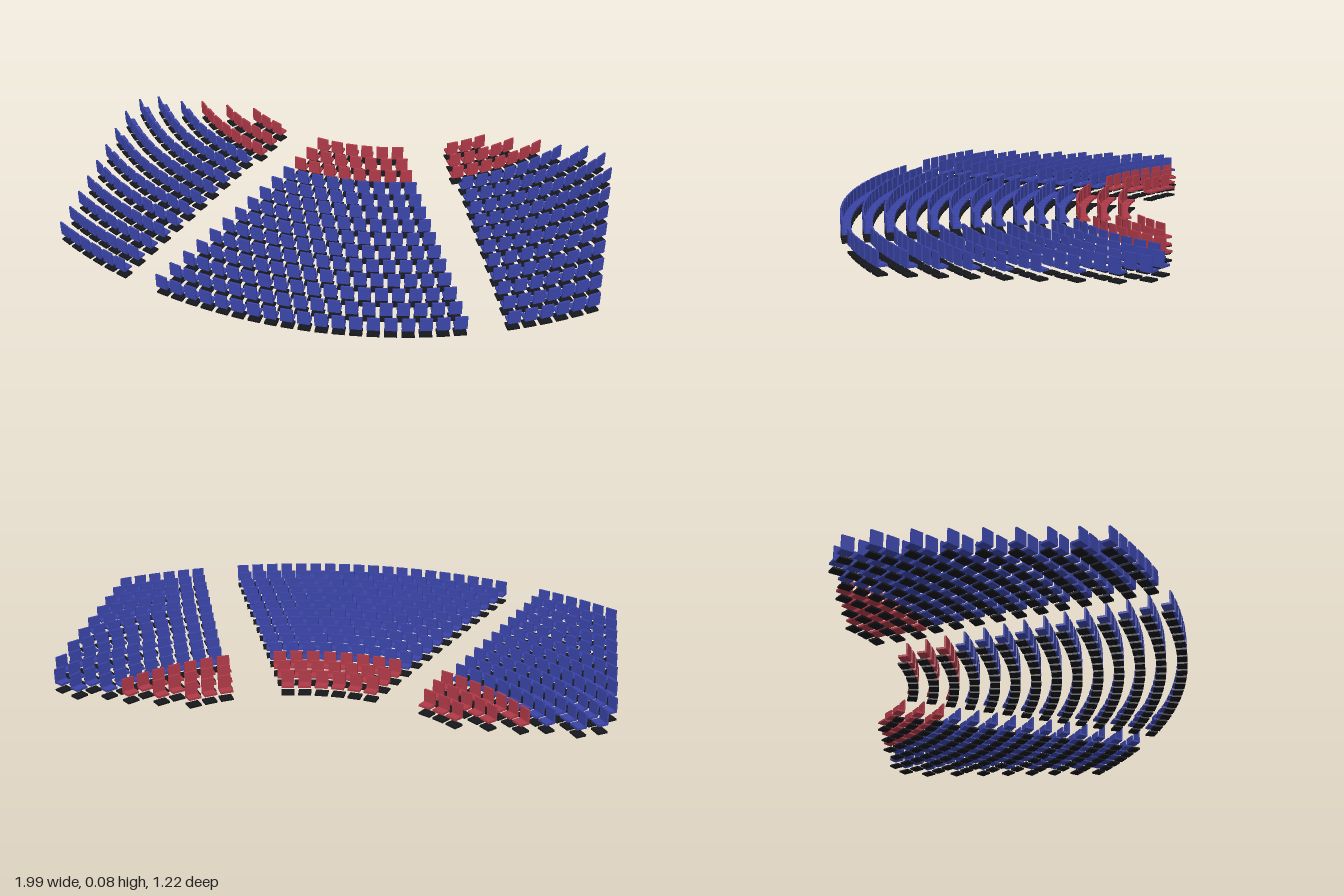
import * as THREE from 'three';
import { mergeGeometries } from 'three/addons/utils/BufferGeometryUtils.js';

const ROWS = 14, PITCH = 0.06;
const CENTRE_Z = -1.145;                       // common centre of all row arcs
const radius = (row) => 0.725 + 0.078 * row;
const FRONT_GAPS = [2, 4, 6, 7, 9, 10];        // side-block rows cut off by the stage line

function box(w, h, d, y, z) {
  return new THREE.BoxGeometry(w, h, d).translate(0, y + h / 2, z);
}

// One chair, facing local -z
const parts = {
  cushion: box(0.045, 0.008, 0.03, 0.03, -0.0035),
  backrest: box(0.045, 0.054, 0.007, 0.03, 0.015),
  floorPlate: box(0.045, 0.007, 0.037, 0, 0),
};

// Angles of the chairs in the middle block: one more chair in each row
function middleAngles(row) {
  const n = 6 + row;
  return Array.from({ length: n }, (_, k) => (k - (n - 1) / 2) * PITCH / radius(row));
}

// Angles of the chairs in a side block, from the aisle outwards
function sideAngles(row) {
  const R = radius(row);
  const start = row < 3 ? 0.37 + 0.0215 * row : 0.461 + 0.0266 * (row - 3);
  const end = row < 6 ? start + FRONT_GAPS[row] * PITCH : R * Math.asin(0.967 / R);
  const gaps = Math.round((end - start) / PITCH);
  return Array.from({ length: gaps + 1 }, (_, k) => (start + (end - start) * k / gaps) / R);
}

function place(geometry, row, angle) {
  const R = radius(row);
  return geometry.clone().rotateY(angle)
    .translate(R * Math.sin(angle), 0, CENTRE_Z + R * Math.cos(angle));
}

export function createModel() {
  const model = new THREE.Group();
  model.name = 'auditoriumSeating';
  const blue = new THREE.MeshStandardMaterial({ color: 0x3a45a8 });
  const red = new THREE.MeshStandardMaterial({ color: 0xb03a48 });
  const black = new THREE.MeshStandardMaterial({ color: 0x15171c });

  const blocks = {
    middleBlock: middleAngles,
    leftBlock: sideAngles,
    rightBlock: (row) => sideAngles(row).map((a) => -a),
  };
  for (const [blockName, angles] of Object.entries(blocks)) {
    const block = new THREE.Group();
    block.name = blockName;
    for (let row = 0; row < ROWS; row++) {
      const rowGroup = new THREE.Group();
      rowGroup.name = `row${row + 1}`;
      // The three rows nearest the stage are red
      const fabric = row < 3 ? red : blue;
      for (const [name, geometry] of Object.entries(parts)) {
        const merged = mergeGeometries(angles(row).map((a) => place(geometry, row, a)));
        const mesh = new THREE.Mesh(merged, name === 'floorPlate' ? black : fabric);
        mesh.name = `${name}s`;
        rowGroup.add(mesh);
      }
      block.add(rowGroup);
    }
    model.add(block);
  }
  return model;
}
